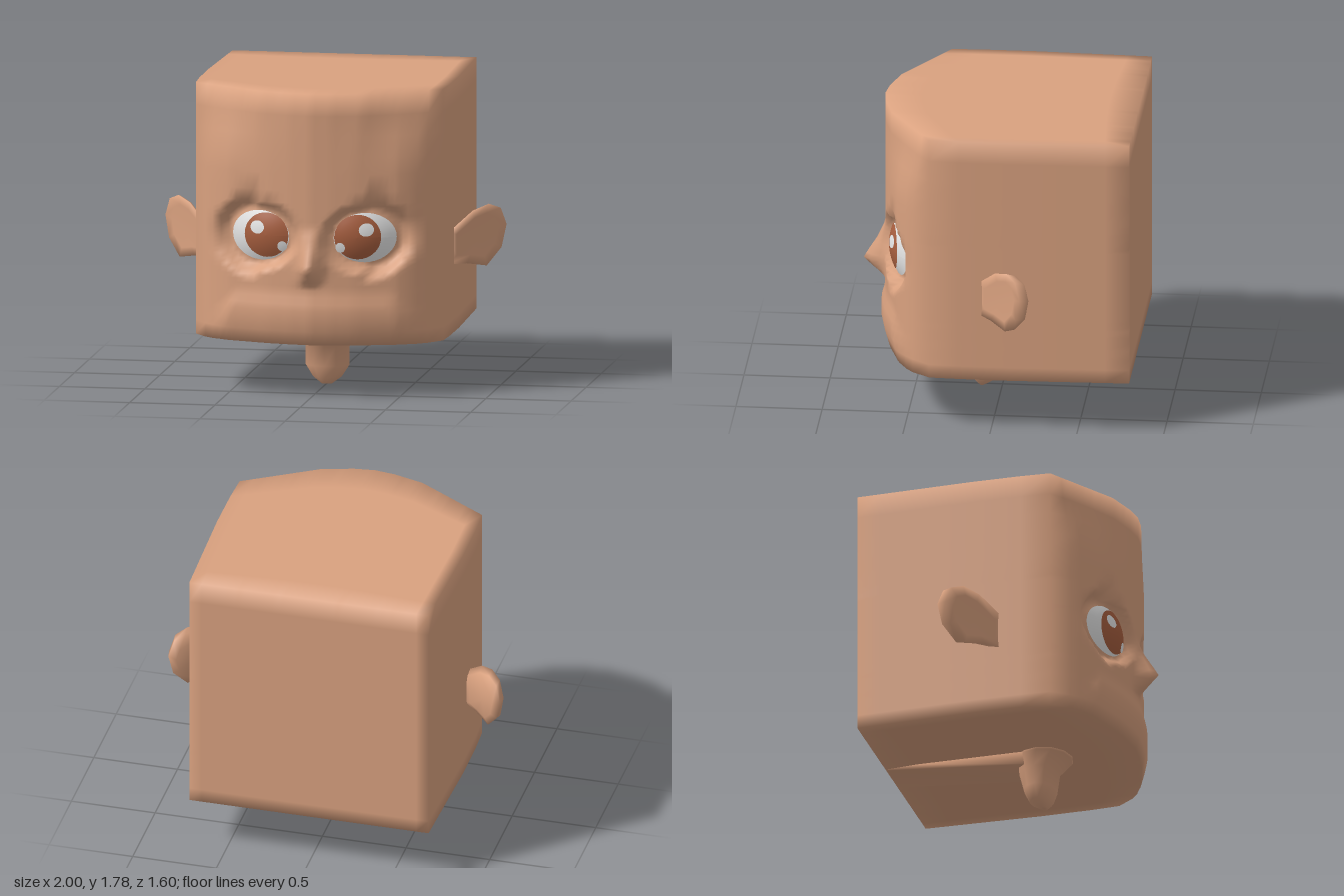
import * as THREE from 'three';
import { mergeVertices } from 'three/addons/utils/BufferGeometryUtils.js';

const mat = (name, color, extra = {}) => {
  const m = new THREE.MeshStandardMaterial({ color, ...extra });
  m.name = name;
  return m;
};
const smooth = THREE.MathUtils.smoothstep;
const mix = THREE.MathUtils.lerp;

// Piecewise-linear curve through [input, output] points
function curve(points, v) {
  if (v <= points[0][0]) return points[0][1];
  for (let i = 1; i < points.length; i++) {
    const [a, fa] = points[i - 1], [b, fb] = points[i];
    if (v <= b) return mix(fa, fb, (v - a) / (b - a));
  }
  return points[points.length - 1][1];
}

const EYE = { x: 0.305, y: 0.945, rx: 0.175, ry: 0.145 };
const eyeZ = (x, y) => 0.635 - 1.6 * (Math.abs(x) - 0.2) ** 2 - 1.8 * (y - 0.95) ** 2;

// Plan outline of the face: rounded in the middle, more angular at the top
const midPlan = [[0, 0.68], [0.12, 0.668], [0.25, 0.645], [0.5, 0.57], [0.63, 0.49], [0.725, 0.36]];
const topPlan = [[0, 0.68], [0.12, 0.665], [0.3, 0.615], [0.725, 0.36]];
const planZ = (x, y) => mix(curve(midPlan, Math.abs(x)), curve(topPlan, Math.abs(x)), smooth(y, 1.35, 1.79));

// Face relief: muzzle, eye sockets and nose
const noseHeight = [[0.66, 0], [0.72, 0.075], [0.77, 0.125], [0.83, 0.09], [0.9, 0.045], [1.0, 0]];
function faceZ(x, y) {
  const ax = Math.abs(x);
  let z = planZ(x, y);
  const limit = 0.46 + (0.61 - y) * 0.62;
  z += 0.022 * (1 - smooth(ax, limit - 0.04, limit + 0.03)) * (1 - smooth(y, 0.53, 0.63)) * smooth(y, 0.3, 0.46);
  z -= 0.015 * (1 - smooth(y, 0.32, 0.46)) * (1 - smooth(ax, 0.5, 0.7));
  const d = Math.hypot((ax - EYE.x) / EYE.rx, (y - EYE.y) / EYE.ry);
  const reach = ax > EYE.x ? 1.75 : 1.4;
  z = mix(z, Math.max(eyeZ(x, y), 0.47) - 0.018, 1 - smooth(d, 1.05, reach));
  return z + curve(noseHeight, y) * Math.exp(-((x / 0.055) ** 2));
}

const halfWidth = [[-0.8, 0.715], [0.05, 0.74], [0.36, 0.725]];

// Head: a box whose grid lines are placed unevenly and bent into shape
function headGeometry() {
  const half = [0.03, 0.06, 0.09, 0.12, 0.15, 0.18, 0.22, 0.26, 0.3, 0.34, 0.38, 0.42, 0.45, 0.48, 0.51, 0.55, 0.6, 0.65, 0.725];
  const xs = [...half.slice().reverse().map(v => -v), 0, ...half];
  const ys = [0.32, 0.4, 0.46, 0.52, 0.56, 0.6, 0.64, 0.665];
  for (let y = 0.69; y < 1.17; y += 0.027) ys.push(y);
  ys.push(1.22, 1.32, 1.42, 1.54, 1.66, 1.79);
  const ts = [0, 0.12, 0.35, 0.6, 0.85, 1];
  const g0 = new THREE.BoxGeometry(1, 1, 1, xs.length - 1, ys.length - 1, ts.length - 1);
  g0.deleteAttribute('normal');
  g0.deleteAttribute('uv');
  const g = mergeVertices(g0, 1e-5);
  g.clearGroups();
  const p = g.attributes.position;
  const pick = (list, v) => list[Math.round((v + 0.5) * (list.length - 1))];
  for (let i = 0; i < p.count; i++) {
    const x = pick(xs, p.getX(i)), y = pick(ys, p.getY(i)), t = pick(ts, p.getZ(i));
    const z = t === 1 ? faceZ(x, y) : mix(-0.8, planZ(x, y), t);
    p.setXYZ(i, (x / 0.725) * curve(halfWidth, Math.min(z, 0.36)), y, z);
  }
  g.computeVertexNormals();
  return g;
}

// Closed surface through rings of points; both ends are capped with fans
function loft(rings, flip = false) {
  const n = rings[0].length, pos = [], idx = [];
  const tri = (a, b, c) => (flip ? idx.push(a, c, b) : idx.push(a, b, c));
  rings.forEach(r => r.forEach(q => pos.push(...q)));
  for (let k = 0; k < rings.length - 1; k++) {
    for (let i = 0; i < n; i++) {
      const a = k * n + i, b = k * n + ((i + 1) % n);
      tri(a, b, b + n);
      tri(a, b + n, a + n);
    }
  }
  [0, rings.length - 1].forEach(k => {
    const c = pos.length / 3, r = rings[k];
    pos.push(...[0, 1, 2].map(j => r.reduce((s, q) => s + q[j], 0) / n));
    for (let i = 0; i < n; i++) {
      const a = k * n + i, b = k * n + ((i + 1) % n);
      if (k === 0) tri(b, a, c); else tri(a, b, c);
    }
  });
  const g = new THREE.BufferGeometry();
  g.setAttribute('position', new THREE.Float32BufferAttribute(pos, 3));
  g.setIndex(idx);
  g.computeVertexNormals();
  return g;
}

// Neck: elliptical rings [y, half width, back z, front z]
function neckGeometry() {
  const rows = [[0.36, 0.2, -0.05, 0.31], [0.31, 0.18, -0.04, 0.28], [0.235, 0.13, -0.03, 0.21],
    [0.12, 0.13, 0, 0.19], [0.05, 0.085, 0.035, 0.17], [0.01, 0.03, 0.1, 0.135]];
  return loft(rows.map(([y, w, zb, zf]) => Array.from({ length: 12 }, (_, i) => {
    const a = (i / 12) * Math.PI * 2;
    return [w * Math.cos(a), y, (zb + zf) / 2 + ((zf - zb) / 2) * Math.sin(a)];
  })));
}

// Low ridge under the head, running from the back to the neck
function ridgeGeometry() {
  const section = (z, y, w) => [[w, 0.34, z], [w * 0.8, y, z], [-w * 0.8, y, z], [-w, 0.34, z]];
  return loft([section(0.1, 0.245, 0.15), section(-0.79, 0.315, 0.15)]);
}

// Ear: a swept-back slab with a smaller rear face
function earGeometry(side) {
  const outline = [[0.70, 0.72], [0.8, 0.715], [0.9, 0.69], [0.975, 0.79], [1.0, 0.92],
    [0.97, 1.02], [0.91, 1.05], [0.83, 1.02], [0.70, 0.9]];
  const frontZ = x => 0.05 - 0.92 * (x - 0.74);
  const ring = (scale, back) => outline.map(([x, y]) => {
    const sx = 0.86 + (x - 0.86) * scale, sy = 0.87 + (y - 0.87) * scale;
    return [side * sx, sy, frontZ(sx) - back];
  });
  return loft([ring(0.6, 0.1), ring(0.93, 0.06), ring(1, 0), ring(0.7, 0.005)], side < 0);
}

// Curved elliptical patch lying on the eye surface
function eyePatch(side, cx, cy, rx, ry, lift) {
  const g = new THREE.RingGeometry(0, 1, 36, 6);
  const p = g.attributes.position;
  for (let i = 0; i < p.count; i++) {
    const x = side * cx + p.getX(i) * rx, y = cy + p.getY(i) * ry;
    p.setXYZ(i, x, y, eyeZ(x, y) + lift);
  }
  g.computeVertexNormals();
  return g;
}

export function createModel() {
  const skin = mat('skin', 0xd9a17f);
  const white = mat('eyeWhite', 0xe6e6e6, { side: THREE.DoubleSide });
  const brown = mat('irisBrown', 0xa85f3f, { side: THREE.DoubleSide });
  const root = new THREE.Group();
  root.name = 'head model';
  const add = (name, geometry, material) => {
    const m = new THREE.Mesh(geometry, material);
    m.name = name;
    root.add(m);
  };

  add('head', headGeometry(), skin);
  add('neck', neckGeometry(), skin);
  add('neckRidge', ridgeGeometry(), skin);

  for (const side of [1, -1]) {
    const s = side > 0 ? 'left' : 'right';
    add(s + 'Ear', earGeometry(side), skin);
    add(s + 'EyeWhite', eyePatch(side, EYE.x, EYE.y, EYE.rx, EYE.ry, 0), white);
    add(s + 'Iris', eyePatch(side, 0.267, 0.95, 0.133, 0.13, 0.004), brown);
    add(s + 'UpperHighlight', eyePatch(side, 0.32, 0.995, 0.042, 0.038, 0.008), white);
    add(s + 'LowerHighlight', eyePatch(side, 0.17, 0.89, 0.028, 0.03, 0.008), white);
  }
  return root;
}
